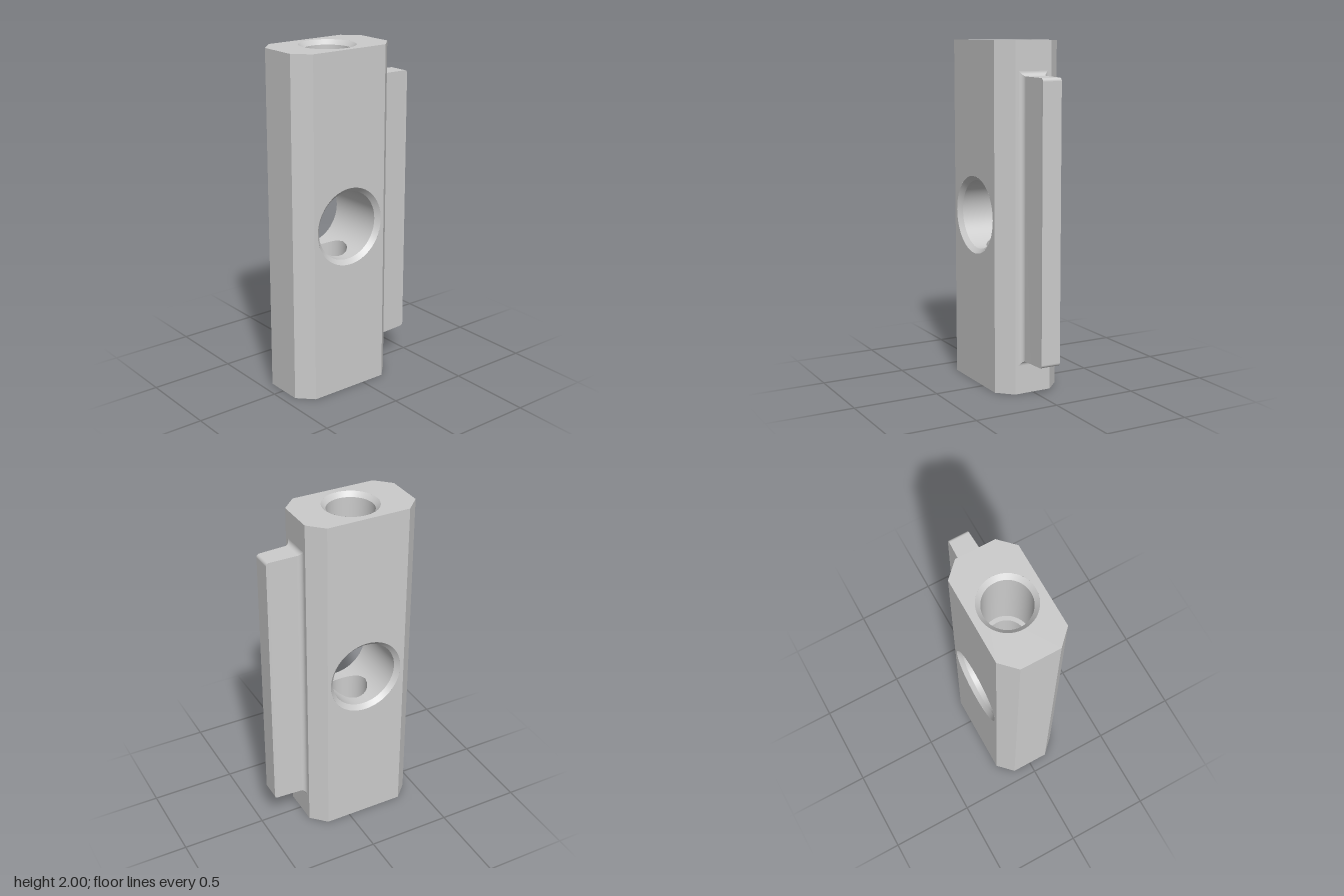
import * as THREE from 'three';
import { toCreasedNormals } from 'three/addons/utils/BufferGeometryUtils.js';
import { ParametricGeometry } from 'three/addons/geometries/ParametricGeometry.js';

const X0 = -0.434, X1 = 0.232, Z = 0.2, C = 0.086; // block section and its corner chamfer
const AXIS = -0.1;                                 // x of both bores
const CROSS = 0.2, DRILL = 0.108, THREAD = 0.134;  // bore radii
const SINK = 0.026;                                // countersink depth

const material = new THREE.MeshStandardMaterial({ color: 0xcccccc, side: THREE.DoubleSide });

function add(parent, name, geometry) {
  const mesh = new THREE.Mesh(geometry, material);
  mesh.name = name;
  parent.add(mesh);
  return mesh;
}

function holedShape(points, x, y, r) {
  const shape = new THREE.Shape(points);
  shape.holes.push(new THREE.Path().absarc(x, y, r, 0, Math.PI * 2, true));
  return new THREE.ShapeGeometry(shape, 48);
}

const lathe = (pts) => toCreasedNormals(
  new THREE.LatheGeometry(pts.map(([r, y]) => new THREE.Vector2(r, y)), 48), 0.4);

export function createModel() {
  const model = new THREE.Group();

  // Block outline seen from above, as (x, z)
  const outline = [
    [X0 + C, -Z], [X1 - C, -Z], [X1, C - Z], [X1, Z - C],
    [X1 - C, Z], [X0 + C, Z], [X0, Z - C], [X0, C - Z],
  ].map(([x, z]) => new THREE.Vector2(x, z));

  // Block: two ends, two drilled faces and six plain side strips
  const block = new THREE.Group();
  block.name = 'block';
  model.add(block);
  for (const top of [true, false]) {
    const cap = holedShape(outline, AXIS, 0, THREAD + SINK).rotateX(-Math.PI / 2);
    if (!top) cap.rotateX(Math.PI);
    add(block, top ? 'topEnd' : 'bottomEnd', cap).position.y = top ? 2 : 0;
  }
  const a = X0 + C - AXIS, b = X1 - C - AXIS;
  for (const s of [1, -1]) {
    const rect = [[s * a, 0], [s * b, 0], [s * b, 2], [s * a, 2]].map(([x, y]) => new THREE.Vector2(x, y));
    const face = holedShape(rect, 0, 1, CROSS + SINK);
    if (s < 0) face.rotateY(Math.PI);
    add(block, s > 0 ? 'frontFace' : 'backFace', face).position.set(AXIS, 0, s * Z);
  }
  outline.forEach((p, i) => {
    if (i === 0 || i === 4) return;
    const q = outline[(i + 1) % 8];
    const strip = add(block, 'sideStrip', new THREE.PlaneGeometry(p.distanceTo(q), 2));
    strip.position.set((p.x + q.x) / 2, 1, (p.y + q.y) / 2);
    strip.rotation.y = Math.atan2(q.y - p.y, p.x - q.x);
  });

  // Cross bore: each half wall stops where the long bore cuts through it
  const gap = (x) => Math.sqrt(Math.max(0, DRILL * DRILL - x * x));
  for (const s of [1, -1]) {
    const half = new THREE.Group();
    half.name = s > 0 ? 'crossBoreFront' : 'crossBoreBack';
    half.position.set(AXIS, 1, 0);
    half.rotation.y = s > 0 ? 0 : Math.PI;
    model.add(half);
    add(half, 'crossBoreWall', new ParametricGeometry((u, v, t) => {
      const x = CROSS * Math.cos(u * Math.PI * 2), y = CROSS * Math.sin(u * Math.PI * 2);
      t.set(x, y, THREE.MathUtils.lerp(Z - SINK, gap(x), v));
    }, 120, 1));
    add(half, 'crossBoreCountersink',
      lathe([[CROSS, Z - SINK], [CROSS + SINK, Z]]).rotateX(Math.PI / 2));
  }

  // Long bore: countersink, wide threaded part, narrower drilled part meeting the cross bore
  for (const s of [1, -1]) {
    const half = new THREE.Group();
    half.name = s > 0 ? 'longBoreTop' : 'longBoreBottom';
    half.position.set(AXIS, 1, 0);
    half.rotation.z = s > 0 ? 0 : Math.PI;
    model.add(half);
    add(half, 'threadedBore',
      lathe([[DRILL, 0.5], [THREAD, 0.5], [THREAD, 1 - SINK], [THREAD + SINK, 1]]));
    add(half, 'drilledBore', new ParametricGeometry((u, v, t) => {
      const x = DRILL * Math.cos(u * Math.PI * 2), z = DRILL * Math.sin(u * Math.PI * 2);
      t.set(x, THREE.MathUtils.lerp(0.5, Math.sqrt(CROSS * CROSS - x * x), v), z);
    }, 48, 1));
  }

  // Fin sections as (x, half depth, half height): root fillet, slight taper, rounded tip
  const fin = new THREE.Group();
  fin.name = 'fin';
  fin.position.y = 1;
  model.add(fin);
  const F = 0.028, R = 0.018, TIP = 0.433, sections = [];
  for (let i = 0; i <= 8; i++) {
    const k = i / 8 * Math.PI / 2, out = F * (1 - Math.sin(k));
    sections.push([X1 + F * (1 - Math.cos(k)), 0.065 + out, 0.805 + out]);
  }
  for (let i = 0; i <= 6; i++) {
    const k = i / 6 * Math.PI / 2;
    sections.push([TIP - R + R * Math.sin(k), 0.059, 0.802 - R + R * Math.cos(k)]);
  }
  const n = sections.length - 1;
  for (const s of [1, -1]) {
    add(fin, 'finSide', new ParametricGeometry((u, v, t) => {
      const [x, d, h] = sections[Math.round(u * n)];
      t.set(x, (v * 2 - 1) * h, s * d);
    }, n, 1));
    add(fin, 'finEdge', new ParametricGeometry((u, v, t) => {
      const [x, d, h] = sections[Math.round(u * n)];
      t.set(x, s * h, (1 - v * 2) * d);
    }, n, 1));
  }
  // Section lookup is stepped, so normals come from the finished faces
  fin.children.forEach((m) => m.geometry.computeVertexNormals());
  add(fin, 'finTip', new THREE.PlaneGeometry(0.118, 2 * (0.802 - R)).rotateY(Math.PI / 2)).position.x = TIP;

  return model;
}
